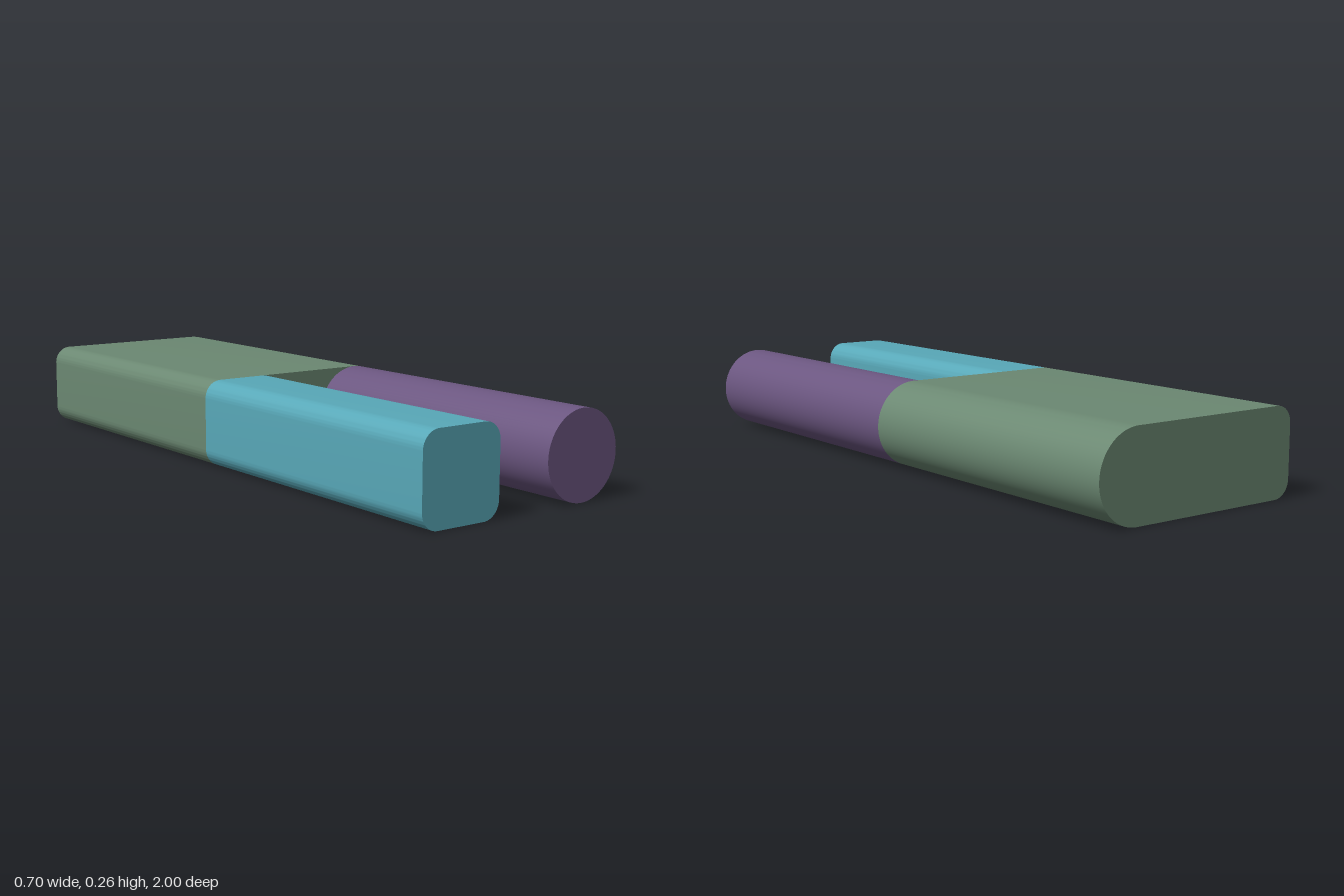
import * as THREE from 'three';
import { toCreasedNormals } from 'three/addons/utils/BufferGeometryUtils.js';

const HEIGHT = 0.263;
const HALF_WIDTH = 0.351;
const ROUND = HEIGHT / 2; // full half-round edge
const CORNER = 0.053;     // small corner radius
const LENGTH = 1;

// Bar cross-section with separate corner radii on its -x and +x sides
function barProfile(x0, x1, rLeft, rRight) {
  const s = new THREE.Shape();
  s.moveTo(x0 + rLeft, 0);
  s.lineTo(x1 - rRight, 0);
  s.absarc(x1 - rRight, rRight, rRight, -Math.PI / 2, 0);
  s.absarc(x1 - rRight, HEIGHT - rRight, rRight, 0, Math.PI / 2);
  s.lineTo(x0 + rLeft, HEIGHT);
  s.absarc(x0 + rLeft, HEIGHT - rLeft, rLeft, Math.PI / 2, Math.PI);
  s.absarc(x0 + rLeft, rLeft, rLeft, Math.PI, Math.PI * 1.5);
  return s;
}

// Extrude a profile along z, starting at zStart
function bar(name, profile, zStart, color) {
  const extruded = new THREE.ExtrudeGeometry(profile, {
    depth: LENGTH, bevelEnabled: false, curveSegments: 10,
  });
  extruded.translate(0, 0, zStart);
  const mesh = new THREE.Mesh(
    toCreasedNormals(extruded, Math.PI / 6),
    new THREE.MeshStandardMaterial({ color }),
  );
  mesh.name = name;
  return mesh;
}

export function createModel() {
  const group = new THREE.Group();
  group.name = 'forkedBar';

  // Wide rear body: small corners on one edge, half-round on the other
  group.add(bar('rearBody', barProfile(-HALF_WIDTH, HALF_WIDTH, CORNER, ROUND), -LENGTH, 0x6b8872));

  // Front prongs continuing each edge of the body
  group.add(bar('roundedSquareProng', barProfile(-HALF_WIDTH, -HALF_WIDTH + HEIGHT, CORNER, CORNER), 0, 0x58a8b8));
  group.add(bar('roundProng', barProfile(HALF_WIDTH - HEIGHT, HALF_WIDTH, ROUND, ROUND), 0, 0x6b5680));

  return group;
}
